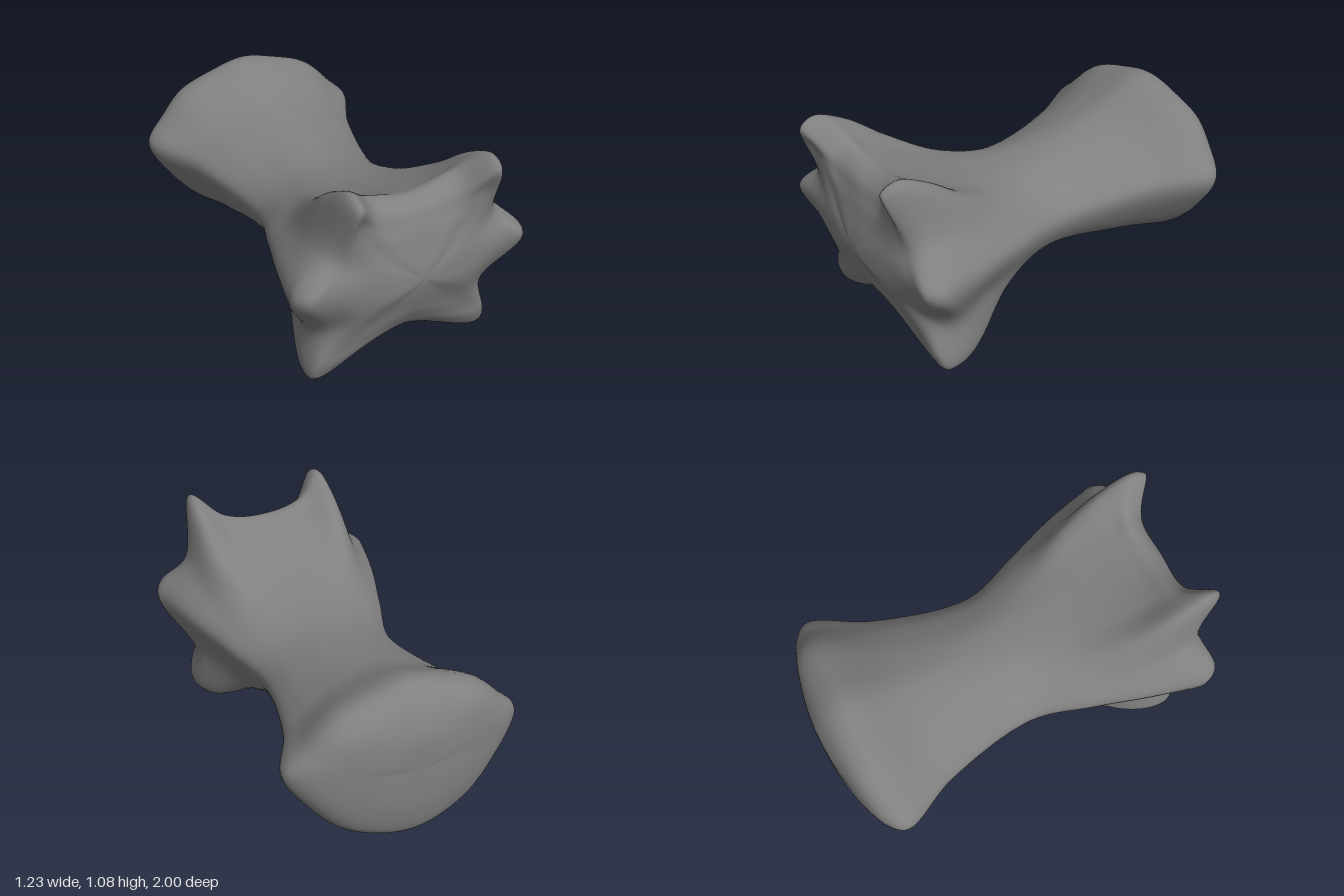
import * as THREE from 'three';
import { mergeVertices } from 'three/addons/utils/BufferGeometryUtils.js';

const v = (x, y, z) => new THREE.Vector3(x, y, z);

// Ridge lines running from the back rim to the front face, on the +x half
const top = [
  v(0, 0.72, -0.99), v(0, 0.86, -0.92), v(0, 0.91, -0.82), v(0, 0.78, -0.5), v(0, 0.70, 0), v(0, 0.74, 0.3),
  v(0, 0.82, 0.55), v(0, 0.895, 0.73), v(0, 0.925, 0.82), v(0, 0.885, 0.89), v(0, 0.82, 0.918), v(0, 0.74, 0.938),
];
const topHollow = [
  v(0.1, 0.7, -0.987), v(0.17, 0.825, -0.92), v(0.18, 0.87, -0.82), v(0.13, 0.755, -0.5), v(0.11, 0.69, 0), v(0.14, 0.735, 0.3),
  v(0.2, 0.83, 0.55), v(0.22, 0.925, 0.73), v(0.225, 0.975, 0.82), v(0.215, 0.92, 0.89), v(0.18, 0.83, 0.912), v(0.13, 0.75, 0.933),
];
const horn = [
  v(0.2, 0.65, -0.98), v(0.35, 0.76, -0.915), v(0.37, 0.795, -0.82), v(0.25, 0.71, -0.5), v(0.21, 0.65, 0), v(0.27, 0.71, 0.3),
  v(0.35, 0.85, 0.55), v(0.37, 1.0, 0.75), v(0.37, 1.07, 0.92), v(0.355, 1.03, 0.995), v(0.32, 0.9, 0.938), v(0.23, 0.75, 0.927),
];
const upperHollow = [
  v(0.27, 0.6, -0.97), v(0.46, 0.655, -0.9), v(0.5, 0.67, -0.81), v(0.38, 0.63, -0.5), v(0.31, 0.58, 0), v(0.385, 0.63, 0.3),
  v(0.445, 0.7, 0.55), v(0.46, 0.76, 0.74), v(0.45, 0.76, 0.84), v(0.42, 0.74, 0.89), v(0.36, 0.71, 0.915), v(0.26, 0.67, 0.937),
];
const sideSpike = [
  v(0.34, 0.54, -0.955), v(0.54, 0.55, -0.88), v(0.6, 0.55, -0.8), v(0.465, 0.53, -0.5), v(0.365, 0.49, 0), v(0.455, 0.53, 0.3),
  v(0.54, 0.56, 0.55), v(0.6, 0.57, 0.78), v(0.615, 0.57, 0.86), v(0.57, 0.58, 0.93), v(0.46, 0.575, 0.93), v(0.33, 0.56, 0.938),
];
const lowerHollow = [
  v(0.28, 0.42, -0.968), v(0.45, 0.37, -0.9), v(0.5, 0.35, -0.81), v(0.39, 0.34, -0.5), v(0.32, 0.36, 0), v(0.395, 0.36, 0.3),
  v(0.455, 0.32, 0.55), v(0.475, 0.28, 0.65), v(0.47, 0.27, 0.73), v(0.44, 0.3, 0.8), v(0.37, 0.36, 0.87), v(0.28, 0.42, 0.921),
];
const foot = [
  v(0.18, 0.32, -0.98), v(0.28, 0.19, -0.92), v(0.31, 0.15, -0.82), v(0.25, 0.19, -0.5), v(0.2, 0.25, 0), v(0.3, 0.2, 0.3),
  v(0.42, 0.035, 0.55), v(0.465, 0.005, 0.68), v(0.475, 0.02, 0.77), v(0.45, 0.1, 0.815), v(0.36, 0.2, 0.84), v(0.24, 0.31, 0.878),
];
const bottom = [
  v(0, 0.26, -0.99), v(0, 0.11, -0.94), v(0, 0.07, -0.82), v(0, 0.135, -0.5), v(0, 0.21, 0), v(0, 0.2, 0.3),
  v(0, 0.15, 0.55), v(0, 0.13, 0.64), v(0, 0.145, 0.74), v(0, 0.2, 0.815), v(0, 0.27, 0.865), v(0, 0.34, 0.902),
];

const mirror = (line) => line.map((p) => v(-p.x, p.y, p.z));

// Smooth skin: splines along every ridge line, then closed splines around each ring
function skinGeometry(lines, backPole, frontPole, rows, around) {
  const half = lines.length / 2;
  const last = lines[0].length - 1;
  const ridges = lines.map((line, i) => {
    // Run past both poles onto the opposite line so the ends stay round
    const opposite = lines[(i + half) % lines.length];
    return new THREE.CatmullRomCurve3([opposite[0], backPole, ...line, frontPole, opposite[last]]);
  });
  const spans = last + 4;
  const positions = [];
  const index = [];
  for (let i = 0; i <= rows; i++) {
    const t = (1 + (i / rows) * (spans - 2)) / spans;
    const ring = new THREE.CatmullRomCurve3(ridges.map((r) => r.getPoint(t)), true);
    for (let j = 0; j < around; j++) {
      const end = i === 0 ? backPole : i === rows ? frontPole : null;
      positions.push(...(end || ring.getPoint(j / around)).toArray());
    }
  }
  for (let i = 0; i < rows; i++) {
    for (let j = 0; j < around; j++) {
      const k = (j + 1) % around;
      const a = i * around + j, b = i * around + k;
      const c = a + around, d = b + around;
      if (i < rows - 1) index.push(b, c, d);
      if (i > 0) index.push(a, c, b);
    }
  }
  let geometry = new THREE.BufferGeometry();
  geometry.setAttribute('position', new THREE.Float32BufferAttribute(positions, 3));
  geometry.setIndex(index);
  geometry = mergeVertices(geometry, 1e-5);
  geometry.computeVertexNormals();
  return geometry;
}

export function createModel() {
  const group = new THREE.Group();
  group.name = 'spikedBody';

  const rightSide = [foot, lowerHollow, sideSpike, upperHollow, horn, topHollow].map(mirror);
  const lines = [top, topHollow, horn, upperHollow, sideSpike, lowerHollow, foot, bottom, ...rightSide];

  const body = new THREE.Mesh(
    skinGeometry(lines, v(0, 0.53, -1), v(0, 0.55, 0.965), 104, 126),
    new THREE.MeshStandardMaterial({ color: 0x808080 })
  );
  body.name = 'body';
  group.add(body);
  return group;
}
